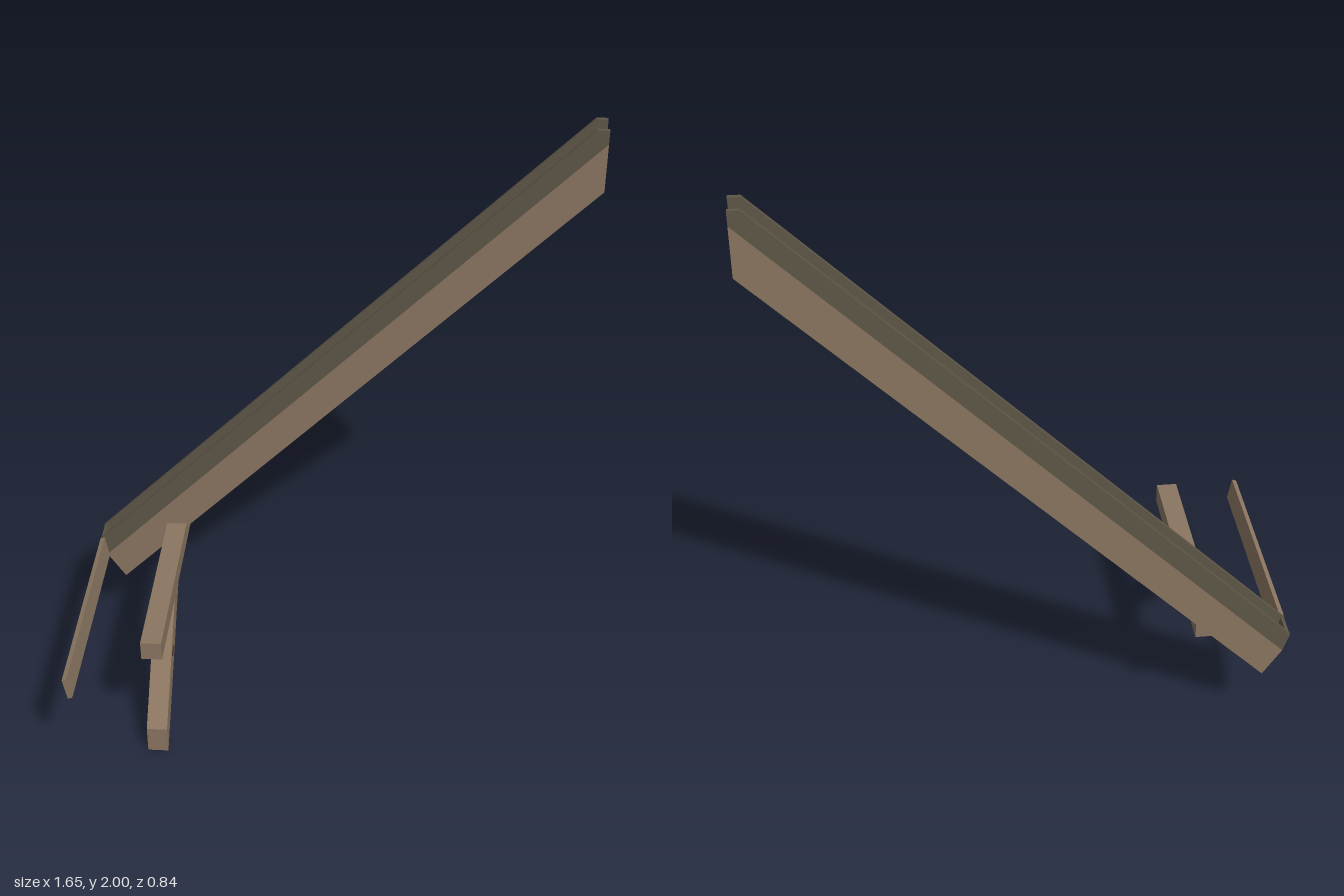
import * as THREE from 'three';

const wood = new THREE.MeshStandardMaterial({ name: 'brown wood', color: 0x8b7661 });
const weathered = new THREE.MeshStandardMaterial({ name: 'weathered wood', color: 0x5f5748 });
const knotWood = new THREE.MeshStandardMaterial({ name: 'dark knot', color: 0x5a4938 });

// Extrude an outline given in the x-y plane from z0 to z1
function slab(name, points, z0, z1, material) {
  const shape = new THREE.Shape(points.map(([x, y]) => new THREE.Vector2(x, y)));
  const geometry = new THREE.ExtrudeGeometry(shape, { depth: z1 - z0, bevelEnabled: false });
  geometry.translate(0, 0, z0);
  const mesh = new THREE.Mesh(geometry, material);
  mesh.name = name;
  return mesh;
}

export function createModel() {
  const model = new THREE.Group();
  model.name = 'woodenTrough';
  const back = -0.42, front = -0.328, wall = 0.012;

  // Sloping solid beam with mitred lower end and upright upper end
  const beam = [[-0.745, 0.228], [0.823, 1.797], [0.823, 1.955], [-0.805, 0.322]];
  model.add(slab('beam', beam, back, front, wood));

  // Thin side walls that make the channel
  const side = [[-0.805, 0.322], [0.823, 1.955], [0.823, 2], [0.787, 2], [-0.826, 0.388]];
  model.add(slab('backWall', side, back, back + wall, weathered));
  model.add(slab('frontWall', side, front - wall, front, weathered));

  // Tilted slat crossing the low end, and the stop between the walls
  const slat = [[-0.812, 0.314], [-0.797, 0.319], [-0.811, 0.396], [-0.826, 0.391]];
  model.add(slab('slat', slat, front, 0.42, wood));
  const stop = [[-0.805, 0.322], [-0.795, 0.332], [-0.814, 0.39], [-0.825, 0.386]];
  model.add(slab('endStop', stop, back + wall, front - wall, weathered));

  // Horizontal arm under the beam
  const armX = -0.55, armWidth = 0.068;
  const arm = new THREE.Mesh(new THREE.BoxGeometry(armWidth, 0.066, 0.735), wood);
  arm.name = 'arm';
  arm.position.set(armX, 0.438, -0.0525);
  model.add(arm);

  // Diagonal brace: outline drawn in (z, y), turned to run across x
  const brace = slab('brace', [[-0.315, 0], [0.09, 0.405], [-0.005, 0.405], [-0.315, 0.095]],
    -armWidth / 2, armWidth / 2, wood);
  brace.rotation.y = Math.PI / 2;
  brace.position.x = armX;
  model.add(brace);

  // Small round knot on the side of the brace
  const knot = new THREE.Mesh(new THREE.CylinderGeometry(0.018, 0.018, 0.03, 8), knotWood);
  knot.name = 'knot';
  knot.rotation.z = Math.PI / 2;
  knot.position.set(armX + armWidth / 2 - 0.012, 0.268, 0.115);
  model.add(knot);

  return model;
}
